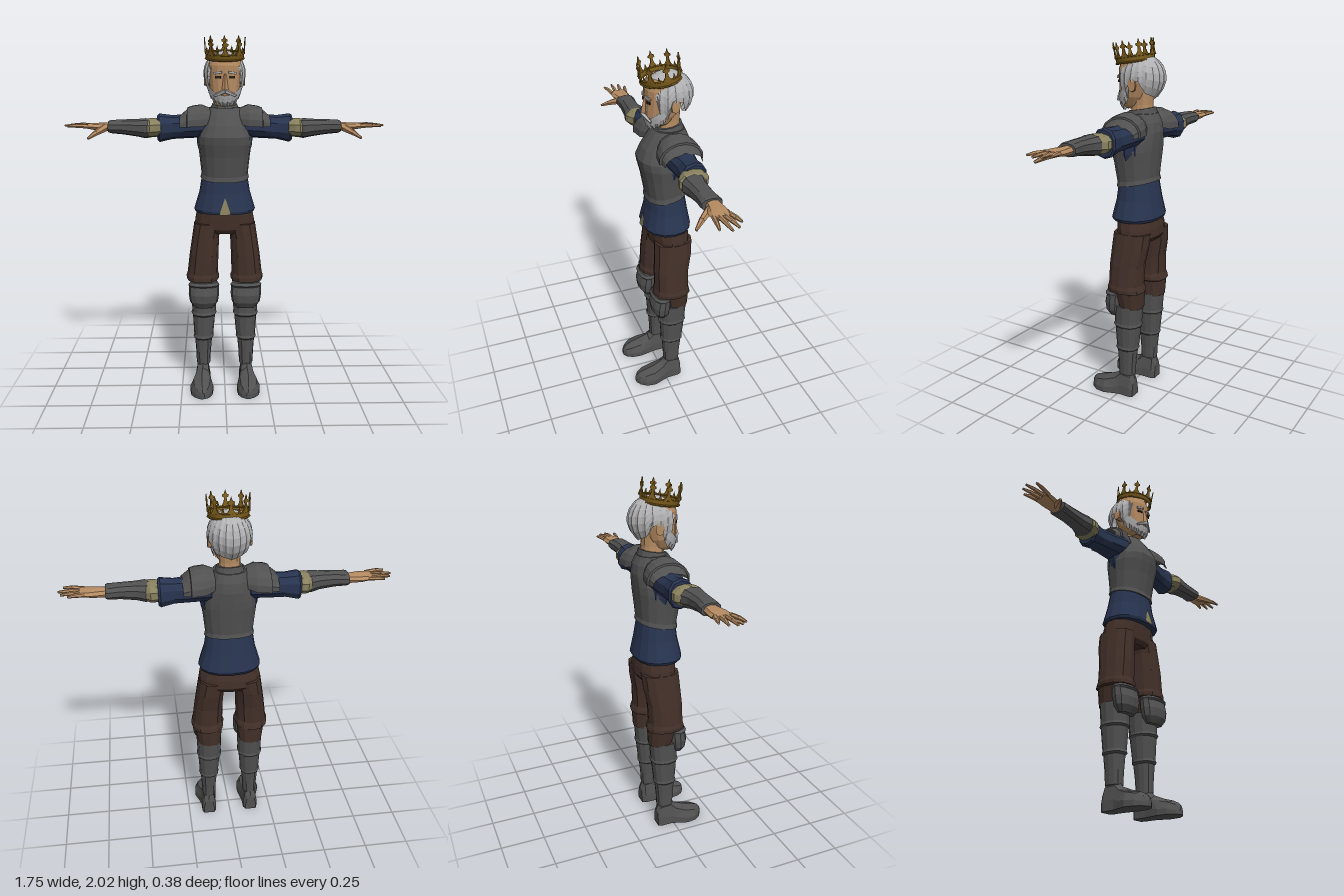
import * as THREE from 'three';

const mat = (name, color, side = THREE.FrontSide) => {
  const m = new THREE.MeshStandardMaterial({ color, side });
  m.name = name;
  return m;
};

// Skin of quads between rows of points; every face keeps its own normal
function surface(rows, closed = true, caps = true) {
  const out = [], n = rows[0].length;
  const tri = (...p) => p.forEach(q => out.push(...q));
  for (let i = 0; i < rows.length - 1; i++) {
    for (let j = 0; j < (closed ? n : n - 1); j++) {
      const k = (j + 1) % n, a = rows[i], b = rows[i + 1];
      tri(a[j], a[k], b[k]);
      tri(a[j], b[k], b[j]);
    }
  }
  if (closed && caps) {
    const mid = r => [0, 1, 2].map(c => r.reduce((s, p) => s + p[c], 0) / n);
    const a = rows[0], b = rows[rows.length - 1], ca = mid(a), cb = mid(b);
    for (let j = 0; j < n; j++) {
      const k = (j + 1) % n;
      tri(ca, a[k], a[j]);
      tri(cb, b[j], b[k]);
    }
  }
  const g = new THREE.BufferGeometry();
  g.setAttribute('position', new THREE.Float32BufferAttribute(out, 3));
  g.computeVertexNormals();
  return g;
}

const around = (n, fn) => Array.from({ length: n }, (_, i) => {
  const t = i / n * Math.PI * 2;
  const sq = v => Math.sign(v) * Math.abs(v) ** 0.88;
  return fn(sq(Math.cos(t)), sq(Math.sin(t)));
});
// Upright loft, rings: [y, centreX, frontZ, backZ, radiusX, frontDrop]
const loftY = (rings, n = 12) => surface(rings.map(([y, cx, zf, zb, rx, drop = 0]) =>
  around(n, (c, s) => [cx + rx * s, y - drop * c, (zf + zb) / 2 + (zf - zb) / 2 * c])));
// Sideways loft, rings: [x, centreY, centreZ, radiusY, radiusZ]
const loftX = (rings, n = 10) => surface(rings.map(([x, cy, cz, ry, rz]) =>
  around(n, (c, s) => [x, cy + ry * c, cz + rz * s])));

// Tapered round piece between two points
function limb(a, b, r0, r1, n = 6) {
  const A = new THREE.Vector3(...a), B = new THREE.Vector3(...b), d = B.clone().sub(A);
  const g = new THREE.CylinderGeometry(r1, r0, d.length(), n).toNonIndexed();
  g.applyQuaternion(new THREE.Quaternion().setFromUnitVectors(new THREE.Vector3(0, 1, 0), d.normalize()));
  g.translate(...A.add(B).multiplyScalar(0.5).toArray());
  g.computeVertexNormals();
  return g;
}

function mirrored(g) {
  const m = g.index ? g.toNonIndexed() : g.clone(), p = m.attributes.position;
  for (let i = 0; i < p.count; i += 3) {
    const v = [0, 2, 1].map(k => [-p.getX(i + k), p.getY(i + k), p.getZ(i + k)]);
    v.forEach((q, k) => p.setXYZ(i + k, ...q));
  }
  m.computeVertexNormals();
  return m;
}

// Linear lookup in [key, value] pairs
function lookup(pairs, x) {
  for (let i = 1; i < pairs.length; i++) {
    const [x0, y0] = pairs[i - 1], [x1, y1] = pairs[i];
    if (x <= x1) return y0 + (y1 - y0) * (x - x0) / (x1 - x0);
  }
  return pairs[pairs.length - 1][1];
}

export function createModel() {
  const root = new THREE.Group();
  const plate = mat('plate steel', 0x515151, THREE.DoubleSide);
  const navy = mat('navy cloth', 0x283450);
  const brown = mat('brown cloth', 0x433029);
  const skin = mat('skin', 0xb58b62);
  const hair = mat('grey hair', 0xb2b2b4, THREE.DoubleSide);
  const gold = mat('gold', 0x7c5d1c, THREE.DoubleSide);
  const cream = mat('cream cloth', 0x89825f, THREE.DoubleSide);
  const dark = mat('dark eye', 0x2a2019);

  const add = (name, g, m, parent = root) => {
    const mesh = new THREE.Mesh(g, m);
    mesh.name = name;
    parent.add(mesh);
    return mesh;
  };
  const pair = (name, g, m) => {
    add(name + 'Left', g, m);
    add(name + 'Right', mirrored(g), m);
  };

  // Torso
  add('tunicSkirt', loftY([[1.045, 0, .085, -.17, .165], [1.06, 0, .09, -.177, .172],
    [1.16, 0, .068, -.158, .142], [1.27, 0, .055, -.14, .124]], 16), navy);
  add('undershirt', loftY([[1.3, 0, .04, -.12, .12], [1.42, 0, .055, -.14, .152],
    [1.52, 0, .05, -.14, .16], [1.6, 0, .01, -.12, .13]]), navy);
  add('shirtTail', surface([[[-.032, 1.046, .094], [.032, 1.046, .094]],
    [[0, 1.14, .08], [0, 1.14, .08]]], false), cream);
  add('breastplate', loftY([[1.24, 0, .07, -.152, .136, .02], [1.265, 0, .066, -.147, .13, .018],
    [1.36, 0, .086, -.155, .14], [1.43, 0, .104, -.163, .149], [1.47, 0, .111, -.167, .145],
    [1.53, 0, .088, -.172, .12], [1.58, 0, .055, -.165, .105], [1.625, 0, .022, -.145, .085]], 16), plate);
  add('gorget', loftY([[1.59, 0, .03, -.15, .09], [1.645, 0, .008, -.132, .068, .012]]), plate);

  // Arms
  pair('sleeve', loftX([[.1, 1.53, -.055, .07, .085], [.22, 1.52, -.058, .066, .07],
    [.29, 1.516, -.058, .066, .06], [.36, 1.512, -.058, .079, .068], [.372, 1.512, -.058, .07, .06]]), navy);
  pair('elbowCloth', loftX([[.35, 1.515, -.045, .048, .06], [.385, 1.515, -.042, .052, .078],
    [.41, 1.514, -.038, .053, .08], [.435, 1.512, -.034, .046, .058]]), cream);
  pair('vambrace', loftX([[.41, 1.512, -.03, .05, .058], [.435, 1.512, -.028, .055, .066],
    [.48, 1.515, -.026, .048, .053], [.56, 1.52, -.028, .041, .049],
    [.625, 1.521, -.031, .036, .055], [.637, 1.521, -.031, .032, .053]]), plate);
  const pauldronRings = [[.075, 1.55, .07, .08], [.13, 1.54, .102, .108], [.18, 1.54, .094, .116],
    [.205, 1.535, .09, .12], [.207, 1.535, .08, .108], [.247, 1.53, .05, .1]];
  pair('pauldron', surface(pauldronRings.map(([x, cy, ry, rz]) => Array.from({ length: 10 }, (_, i) => {
    const t = -1.72 + 3.44 * i / 9;
    return [x, cy + ry * Math.cos(t), -.055 + rz * Math.sin(t)];
  })), false), plate);

  // Hands
  pair('palm', loftX([[.62, 1.52, -.035, .024, .034], [.66, 1.52, -.033, .023, .04],
    [.71, 1.522, -.03, .02, .052], [.765, 1.525, -.028, .013, .051]], 8), skin);
  [[-.068, .825, -.09], [-.042, .862, -.06], [-.014, .876, -.022], [.01, .852, .03]].forEach(([z0, x1, z1], i) => {
    const mx = .75 + (x1 - .75) * .55, mz = z0 + (z1 - z0) * .55;
    pair('finger' + i, limb([.745, 1.526, z0], [mx, 1.53, mz], .0125, .011), skin);
    pair('fingertip' + i, limb([mx, 1.53, mz], [x1, 1.528, z1], .011, .006), skin);
  });
  pair('thumbBase', limb([.66, 1.515, -.01], [.7, 1.492, .045], .022, .015), skin);
  pair('thumbTip', limb([.7, 1.492, .045], [.735, 1.467, .088], .015, .007), skin);

  // Trousers
  add('hips', loftY([[.925, 0, .03, -.15, .14], [.95, 0, .048, -.168, .175],
    [1.0, 0, .052, -.165, .17], [1.07, 0, .055, -.15, .155]], 14), brown);
  pair('trouserLeg', loftY([[.55, .12, .0, -.135, .068], [.645, .122, .03, -.14, .08], [.65, .126, .068, -.148, .092],
    [.67, .126, .066, -.142, .094], [.69, .126, .06, -.135, .087], [.8, .118, .06, -.14, .082],
    [.9, .108, .054, -.16, .077], [.98, .093, .05, -.166, .08]]), brown);

  // Leg armour and boots
  pair('greave', loftY([[.13, .125, .005, -.09, .04], [.2, .125, .008, -.093, .043], [.285, .124, .014, -.102, .05],
    [.295, .124, .025, -.11, .059], [.31, .123, .019, -.107, .056], [.43, .121, .027, -.12, .065],
    [.44, .121, .037, -.127, .073], [.455, .12, .031, -.122, .069], [.56, .12, .03, -.13, .073]]), plate);
  pair('kneeGuard', loftY([[.495, .12, .055, -.0, .055], [.53, .12, .078, -.02, .08], [.575, .12, .084, -.03, .087],
    [.62, .12, .072, -.03, .086], [.63, .12, .08, -.032, .088], [.645, .12, .068, -.025, .078]]), plate);
  const bootRings = [[-.095, .032, .1, .13], [-.075, .042, .15, .128], [-.01, .043, .155, .128], [.02, .05, .118, .13],
    [.08, .066, .094, .135], [.135, .06, .078, .134], [.17, .038, .062, .131], [.187, .012, .04, .13]];
  pair('boot', surface(bootRings.map(([z, w, h, cx]) =>
    [[1, 0], [1, .35], [.72, .8], [0, 1], [-.72, .8], [-1, .35], [-1, 0]]
      .map(([a, b]) => [cx + a * w, b * h, z]))), plate);

  // Head and face
  add('neck', loftY([[1.58, 0, 0, -.125, .06], [1.67, 0, -.005, -.118, .055], [1.78, 0, .01, -.125, .06]]), skin);
  add('head', loftY([[1.645, 0, .04, -.04, .03], [1.665, 0, .056, -.07, .058], [1.71, 0, .067, -.1, .08],
    [1.78, 0, .067, -.13, .09], [1.85, 0, .068, -.14, .094], [1.9, 0, .05, -.13, .085]], 16), skin);
  add('nose', limb([0, 1.722, .07], [0, 1.805, .064], .018, .007, 4), skin);
  pair('ear', loftX([[.08, 1.772, -.05, .034, .02], [.112, 1.778, -.06, .036, .024]], 8), skin);
  const faceBox = (w, h, x, y, z, tilt) => new THREE.BoxGeometry(w, h, .008)
    .rotateZ(tilt).rotateY(.4).translate(x, y, z).toNonIndexed();
  pair('eye', faceBox(.03, .012, .038, 1.788, .061, 0), dark);
  pair('eyebrow', faceBox(.044, .012, .039, 1.812, .064, -.12), hair);
  pair('moustache', limb([0, 1.717, .078], [.058, 1.69, .055], .013, .007, 5), hair);

  // Combed hair: a ribbed cap whose lower edge varies around the head
  const hairline = [[0, 1.875], [.7, 1.86], [.95, 1.73], [1.3, 1.7], [1.5, 1.79], [1.85, 1.8], [2.15, 1.735], [3.15, 1.7]];
  const hairRows = Array.from({ length: 9 }, (_, i) => {
    const v = 1 - i / 8;
    return Array.from({ length: 40 }, (_, j) => {
      const t = j / 40 * Math.PI * 2, a = Math.min(t, Math.PI * 2 - t), low = lookup(hairline, a);
      const y = 1.93 - (1.93 - low) * (1 - Math.cos(v * Math.PI / 2)), d = (y - 1.81) / .12;
      const r = (d > 0 ? Math.sqrt(Math.max(0, 1 - d * d)) : 1 - (.33 - .17 * Math.cos(a)) * d * d) * (j % 2 ? .955 : 1);
      return [.116 * r * Math.sin(t), y, -.058 + .134 * r * Math.cos(t)];
    });
  });
  add('hair', surface(hairRows, true, false), hair);

  // Beard wrapping the jaw with a jagged lower edge
  const beardRows = [0, .35, .7, 1].map(v => Array.from({ length: 19 }, (_, j) => {
    const t = -1.55 + 3.1 * j / 18, q = (t / 1.55) ** 2;
    const low = 1.628 + .055 * q + (j % 2 ? 0 : .014), y = low + (1.692 + .1 * q - low) * v;
    const r = .68 + .32 * Math.sqrt(v) + .18 * q * (1 - v);
    return [.093 * r * Math.sin(t), y, -.02 + .094 * r * Math.cos(t)];
  }));
  add('beard', surface(beardRows, false), hair);

  // Crown, tipped slightly forward
  const crown = new THREE.Group();
  crown.name = 'crown';
  crown.position.set(0, 1.902, -.017);
  crown.rotation.x = .15;
  root.add(crown);
  add('crownBand', new THREE.CylinderGeometry(.106, .102, .03, 24, 1, true), gold, crown);
  [-.014, .014].forEach(y => add('crownRim', new THREE.TorusGeometry(.104, .005, 4, 24)
    .rotateX(Math.PI / 2).translate(0, y, 0), gold, crown));
  const half = [[.024, 0], [.01, .022], [.006, .046], [.017, .052], [.017, .061], [.007, .065]];
  const outline = [...half, [0, .086], ...half.map(([x, y]) => [-x, y]).reverse()];
  const point = new THREE.ExtrudeGeometry(new THREE.Shape(outline.map(p => new THREE.Vector2(...p))),
    { depth: .006, bevelEnabled: false });
  const stub = new THREE.ConeGeometry(.009, .03, 4);
  for (let i = 0; i < 8; i++) {
    const a = i * Math.PI / 4, b = a + Math.PI / 8;
    const spike = add('crownPoint', point, gold, crown);
    spike.position.set(.101 * Math.sin(a), .012, .101 * Math.cos(a));
    spike.rotation.set(.06, a, 0, 'YXZ');
    add('crownStub', stub, gold, crown).position.set(.105 * Math.sin(b), .028, .105 * Math.cos(b));
  }
  return root;
}
